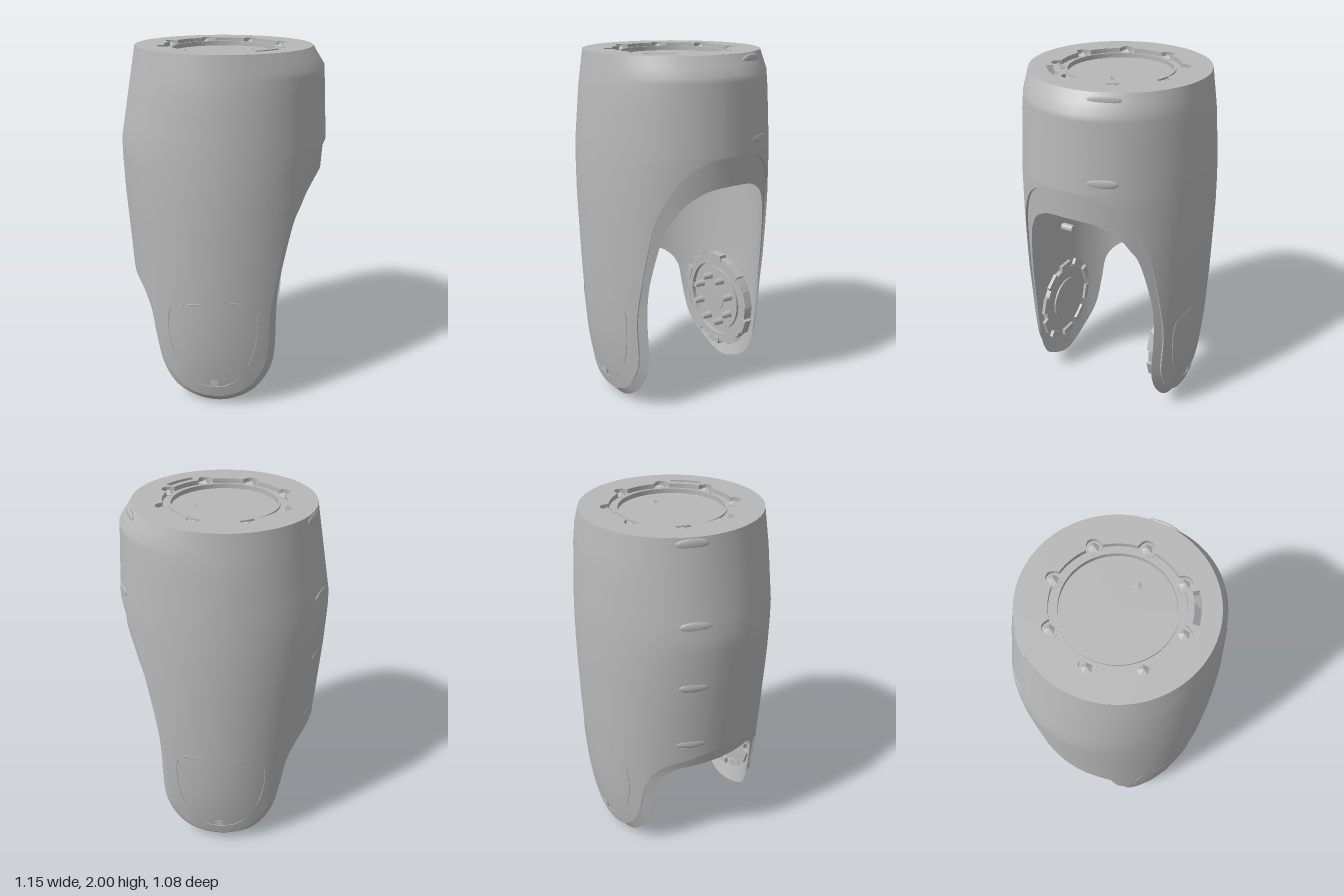
import * as THREE from 'three';
import { mergeVertices } from 'three/addons/utils/BufferGeometryUtils.js';

// piecewise-linear lookup in [y, value] pairs, y descending
function lookup(table, y) {
  if (y >= table[0][0]) return table[0][1];
  for (let i = 1; i < table.length; i++) {
    const [y0, v0] = table[i - 1], [y1, v1] = table[i];
    if (y >= y1) return v1 + (v0 - v1) * (y - y1) / (y0 - y1);
  }
  return table[table.length - 1][1];
}

// half-widths of the body against height
const RIGHT = [[2, 0.485], [1.9, 0.55], [1.5, 0.574], [1.2, 0.576], [0, 0.576]];
const LEFT = [[2, 0.485], [1.48, 0.577], [1.2, 0.566], [0.76, 0.535], [0.6, 0.525], [0, 0.51]];
const DEPTH = [[2, 0.485], [1.8, 0.512], [1.45, 0.535], [1.2, 0.54], [0.8, 0.533], [0.5, 0.52], [0.25, 0.495], [0.1, 0.465], [0.06, 0.452], [0, 0.42]];

const halfX = (side, y, inset) => lookup(side > 0 ? RIGHT : LEFT, y) - inset;
const halfZ = (y, inset) => lookup(DEPTH, y) - inset;

function onBody(theta, y, inset, sign) {
  const c = Math.cos(theta);
  return [c * halfX(c, y, inset), y, sign * Math.sin(theta) * halfZ(y, inset)];
}
function angleAt(x, y, inset) {
  return Math.acos(THREE.MathUtils.clamp(x / halfX(x, y, inset), -1, 1));
}

// lower edges of the shell in front projection, from the +x arch round the lobe to the -x notch
const OUTER_EDGE = [[0.574, 1.497], [0.549, 1.48], [0.506, 1.42], [0.46, 1.33], [0.407, 1.18], [0.37, 1.0], [0.337, 0.8],
  [0.307, 0.6], [0.298, 0.35], [0.268, 0.24], [0.2, 0.135], [0.1, 0.075], [0, 0.058], [-0.12, 0.075], [-0.22, 0.15],
  [-0.29, 0.27], [-0.325, 0.42], [-0.36, 0.56], [-0.42, 0.66], [-0.5, 0.72], [-0.54, 0.755]];
const INNER_EDGE = [[0.56, 1.34], [0.529, 1.32], [0.48, 1.25], [0.45, 1.18], [0.417, 1.1], [0.373, 0.9], [0.348, 0.75],
  [0.338, 0.6], [0.334, 0.36], [0.31, 0.23], [0.24, 0.115], [0.12, 0.03], [0, 0], [-0.13, 0.03], [-0.24, 0.1],
  [-0.31, 0.21], [-0.35, 0.37], [-0.38, 0.53], [-0.43, 0.62], [-0.48, 0.65], [-0.53, 0.66]];
const INSET = 0.022, STEP = 0.012;

// edge as {theta, y, sign} all the way round
function edgeLoop(points, inset) {
  const curve = new THREE.SplineCurve(points.map(p => new THREE.Vector2(...p)));
  const half = curve.getPoints(120).map(p => ({ theta: angleAt(p.x, p.y, inset), y: Math.max(p.y, 0) }));
  half[0].theta = 0;
  half[half.length - 1].theta = Math.PI;
  return [...half.map(p => ({ ...p, sign: 1 })), ...half.slice().reverse().map(p => ({ ...p, sign: -1 }))];
}

// surface from columns of points running upwards
function skin(columns, inward) {
  const rows = columns[0].length, index = [];
  for (let i = 0; i < columns.length - 1; i++) {
    for (let j = 0; j < rows - 1; j++) {
      const a = i * rows + j, b = a + rows;
      if (inward) index.push(a, b, b + 1, a, b + 1, a + 1);
      else index.push(a, b + 1, b, a, a + 1, b + 1);
    }
  }
  const g = new THREE.BufferGeometry();
  g.setAttribute('position', new THREE.Float32BufferAttribute(columns.flat(2), 3));
  g.setIndex(index);
  const merged = mergeVertices(g, 1e-5);
  merged.computeVertexNormals();
  return merged;
}

function wallColumns(loop, inset, top) {
  return loop.map(({ theta, y, sign }) => {
    const col = [];
    for (let j = 0; j <= 10; j++) col.push(onBody(theta, y + (1.5 - y) * j / 10, inset, sign));
    for (const h of [1.6, 1.7, 1.8, 1.87, 1.9, 1.95, top]) col.push(onBody(theta, h, inset, sign));
    return col;
  });
}

export function createModel() {
  const model = new THREE.Group();
  const grey = new THREE.MeshStandardMaterial({ color: 0xb8b8b8 });
  grey.name = 'shell grey';

  function add(name, geometry, x = 0, y = 0, z = 0, parent = model) {
    const mesh = new THREE.Mesh(geometry, grey);
    mesh.name = name;
    mesh.position.set(x, y, z);
    parent.add(mesh);
    return mesh;
  }

  // shell: outer wall, inner wall, and the stepped rim joining them
  const outer = edgeLoop(OUTER_EDGE, 0), inner = edgeLoop(INNER_EDGE, INSET);
  const at = (p, inset) => onBody(p.theta, p.y, inset, p.sign);
  add('outerShell', skin(wallColumns(outer, 0, 2), false));
  add('innerShell', skin(wallColumns(inner, INSET, 1.97), true));
  add('rimStep', skin(outer.map(p => [at(p, STEP), at(p, 0)]), false));
  add('rim', skin(outer.map((p, i) => [at(inner[i], INSET), at(p, STEP)]), false));

  // top plate with scalloped opening and curved slot
  const boltAngles = Array.from({ length: 8 }, (_, i) => (i + 0.5) * Math.PI / 4);
  const plate = new THREE.Shape().absarc(0, 0, 0.485, 0, Math.PI * 2);
  const opening = [];
  for (let i = 0; i < 192; i++) {
    const a = i / 192 * Math.PI * 2;
    const d = (a % (Math.PI / 4)) - Math.PI / 8;
    const s = 0.335 * Math.sin(d);
    const r = Math.abs(s) < 0.037 ? 0.335 * Math.cos(d) + Math.sqrt(0.037 ** 2 - s * s) : 0.325;
    opening.push(new THREE.Vector2(r * Math.cos(a), r * Math.sin(a)));
  }
  plate.holes.push(new THREE.Path(opening));
  const slot = new THREE.Path();
  slot.absarc(0, 0, 0.388, 0.55, 1.02, false);
  slot.absarc(0, 0, 0.355, 1.02, 0.55, true);
  slot.closePath();
  plate.holes.push(slot);
  add('topPlate', new THREE.ExtrudeGeometry(plate, { depth: 0.045, bevelEnabled: false, curveSegments: 64 }).rotateX(Math.PI / 2), 0, 2);

  // sunken hub and its drum inside the shell
  const hub = [[0, 1.37], [0.33, 1.37], [0.33, 1.975], [0.292, 1.975], [0.292, 1.985], [0.28, 1.985], [0.28, 1.96], [0, 1.96]];
  const hubGeometry = new THREE.LatheGeometry(hub.map(p => new THREE.Vector2(...p)), 64).toNonIndexed();
  hubGeometry.computeVertexNormals();
  add('hubDrum', hubGeometry);
  add('hubChip', new THREE.ConeGeometry(0.035, 0.02, 3), 0.15, 1.968, -0.02);
  for (const a of boltAngles) {
    const x = 0.335 * Math.cos(a), z = 0.335 * Math.sin(a);
    add('boltPocket', new THREE.CylinderGeometry(0.046, 0.046, 0.02, 6), x, 1.968, z);
    const tip = new THREE.ConeGeometry(0.03, 0.018, 5).toNonIndexed();
    tip.computeVertexNormals();
    add('boltTip', tip, x, 1.987, z);
  }

  // lens-shaped screw dimples on both sides
  for (const [side, y] of [[1, 1.965], [1, 1.56], [-1, 1.965], [-1, 1.56], [-1, 1.21], [-1, 0.83]]) {
    const theta = side > 0 ? 0.36 : Math.PI - 0.36;
    const dimple = add('screwDimple', new THREE.SphereGeometry(1, 20, 10), ...onBody(theta, y, 0.009, -1));
    dimple.scale.set(0.013, 0.03, 0.085);
    dimple.rotation.y = side * 0.36;
  }

  // inner bosses and pegs
  for (const y of [1.2, 0.8]) {
    add('wallBoss', new THREE.SphereGeometry(1, 24, 12), 0.07 - halfX(-1, y, 0), y, -0.02).scale.set(0.05, 0.052, 0.23);
    add('innerPeg', new THREE.CylinderGeometry(0.025, 0.025, 0.08, 16).rotateX(Math.PI / 2), -0.13, y + 0.04, 0.46);
  }

  // cover seam and catch on each leg
  const seamPoints = [[-0.26, 0.5], [-0.235, 0.63], [-0.1, 0.67], [0.1, 0.69], [0.225, 0.65], [0.24, 0.5], [0.2, 0.3], [0.1, 0.16], [0, 0.13], [-0.12, 0.16], [-0.22, 0.3]];
  for (const sign of [1, -1]) {
    const path = new THREE.CatmullRomCurve3(seamPoints.map(([x, y]) => new THREE.Vector3(...onBody(angleAt(x, y, 0), y, 0.001, sign))), true);
    add('coverSeam', new THREE.TubeGeometry(path, 120, 0.003, 5, true));
    add('coverCatch', new THREE.BoxGeometry(0.045, 0.04, 0.02), 0, 0.165, sign * 0.472);
  }

  // joint mounts inside the legs: disc, toothed ring and bolts
  function ring(r0, r1, depth) {
    const s = new THREE.Shape().absarc(0, 0, r1, 0, Math.PI * 2);
    s.holes.push(new THREE.Path().absarc(0, 0, r0, 0, Math.PI * 2));
    return new THREE.ExtrudeGeometry(s, { depth, bevelEnabled: false, curveSegments: 40 });
  }
  const disc = (r, h) => new THREE.CylinderGeometry(r, r, h, 40).rotateX(Math.PI / 2);
  function teeth(parent, count, radius, z, depth) {
    for (let i = 0; i < count; i++) {
      const a = (i + 0.5) / count * Math.PI * 2;
      add('tooth', new THREE.BoxGeometry(0.04, 0.1, depth), radius * Math.cos(a), radius * Math.sin(a), z, parent).rotation.z = a;
    }
  }

  const backMount = new THREE.Group();
  backMount.name = 'backJointMount';
  backMount.position.set(0, 0.405, -0.395);
  add('mountDisc', disc(0.27, 0.05), 0, 0, 0, backMount);
  add('mountRing', ring(0.235, 0.29, 0.05), 0, 0, 0, backMount);
  teeth(backMount, 10, 0.285, 0.03, 0.05);
  add('mountFace', disc(0.205, 0.02), 0, 0, 0.03, backMount);
  add('mountCentre', disc(0.075, 0.02), 0, 0, 0.035, backMount);
  for (const a of boltAngles) {
    add('mountBolt', new THREE.CylinderGeometry(0.018, 0.024, 0.07, 8).rotateX(Math.PI / 2), 0.15 * Math.cos(a), 0.15 * Math.sin(a), 0.07, backMount);
  }
  model.add(backMount);

  const frontMount = new THREE.Group();
  frontMount.name = 'frontJointMount';
  frontMount.position.set(0, 0.39, 0.425);
  add('socketDisc', disc(0.22, 0.03), 0, 0, 0, frontMount);
  add('socketFace', disc(0.14, 0.02), 0, 0, -0.014, frontMount);
  teeth(frontMount, 10, 0.245, -0.018, 0.02);
  model.add(frontMount);

  return model;
}
